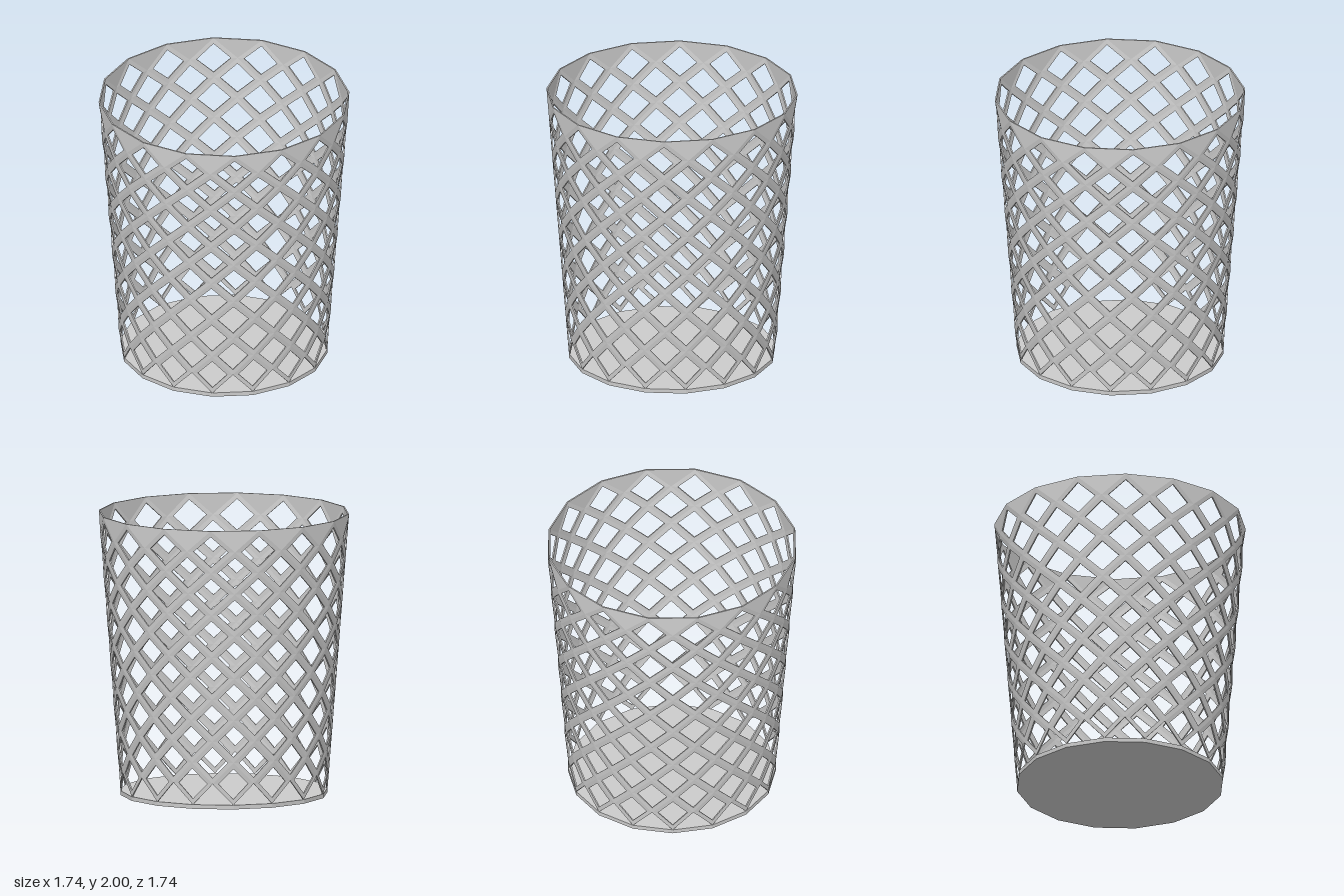
import * as THREE from 'three';

const SIDES = 16, ROWS = 13;
const BASE_Y = 0.03, HEIGHT = 2;
const R_BOTTOM = 0.73, R_TOP = 0.883;
const THICK = 0.01, INSET = 0.28;

// Lattice node: every other row is turned by half a side
function node(row, half, inset = 0) {
  const t = row / ROWS;
  const r = R_BOTTOM + (R_TOP - R_BOTTOM) * t - inset;
  const a = (half * Math.PI) / SIDES;
  return new THREE.Vector3(r * Math.sin(a), BASE_Y + (HEIGHT - BASE_Y) * t, r * Math.cos(a));
}

// Four corners of one diamond and of the smaller hole inside it
function diamond(row, half, inset) {
  const corners = [
    node(row - 1, half, inset), node(row, half + 1, inset),
    node(row + 1, half, inset), node(row, half - 1, inset),
  ];
  const centre = new THREE.Vector3();
  corners.forEach((c) => centre.addScaledVector(c, 0.25));
  return { corners, hole: corners.map((c) => c.clone().lerp(centre, INSET)) };
}

function meshFrom(points, material, name) {
  const geometry = new THREE.BufferGeometry().setFromPoints(points);
  geometry.computeVertexNormals();
  const mesh = new THREE.Mesh(geometry, material);
  mesh.name = name;
  return mesh;
}

export function createModel() {
  const group = new THREE.Group();
  group.name = 'wasteBasket';
  const material = new THREE.MeshStandardMaterial({
    color: 0xcccccc, flatShading: true, side: THREE.DoubleSide,
  });

  // Solid floor
  const floor = new THREE.Mesh(
    new THREE.CylinderGeometry(R_BOTTOM, R_BOTTOM, BASE_Y, SIDES), material);
  floor.position.y = BASE_Y / 2;
  floor.name = 'floor';
  group.add(floor);

  // Diamond lattice wall with real thickness
  const wall = [];
  const quad = (list, a, b, c, d) => list.push(a, b, c, a, c, d);
  for (let row = 1; row < ROWS; row++) {
    for (let s = 0; s < SIDES; s++) {
      const half = 2 * s + ((row + 1) % 2);
      const out = diamond(row, half, 0), inn = diamond(row, half, THICK);
      for (let i = 0; i < 4; i++) {
        const j = (i + 1) % 4;
        quad(wall, out.corners[i], out.corners[j], out.hole[j], out.hole[i]);
        quad(wall, inn.corners[j], inn.corners[i], inn.hole[i], inn.hole[j]);
        quad(wall, out.hole[i], out.hole[j], inn.hole[j], inn.hole[i]);
        // Open lower edge of the bottom row
        if (row === 1 && (i === 0 || i === 3)) {
          quad(wall, out.corners[j], out.corners[i], inn.corners[i], inn.corners[j]);
        }
      }
    }
  }
  group.add(meshFrom(wall, material, 'latticeWall'));

  // Filled triangles that close the lattice into a straight rim
  const rim = [];
  for (let s = 0; s < SIDES; s++) {
    const tri = (inset) => [
      node(ROWS - 1, 2 * s, inset), node(ROWS, 2 * s + 1, inset), node(ROWS, 2 * s - 1, inset),
    ];
    const o = tri(0), n = tri(THICK);
    rim.push(o[0], o[1], o[2], n[0], n[2], n[1]);
    quad(rim, o[2], o[1], n[1], n[2]);
  }
  group.add(meshFrom(rim, material, 'rim'));

  return group;
}
